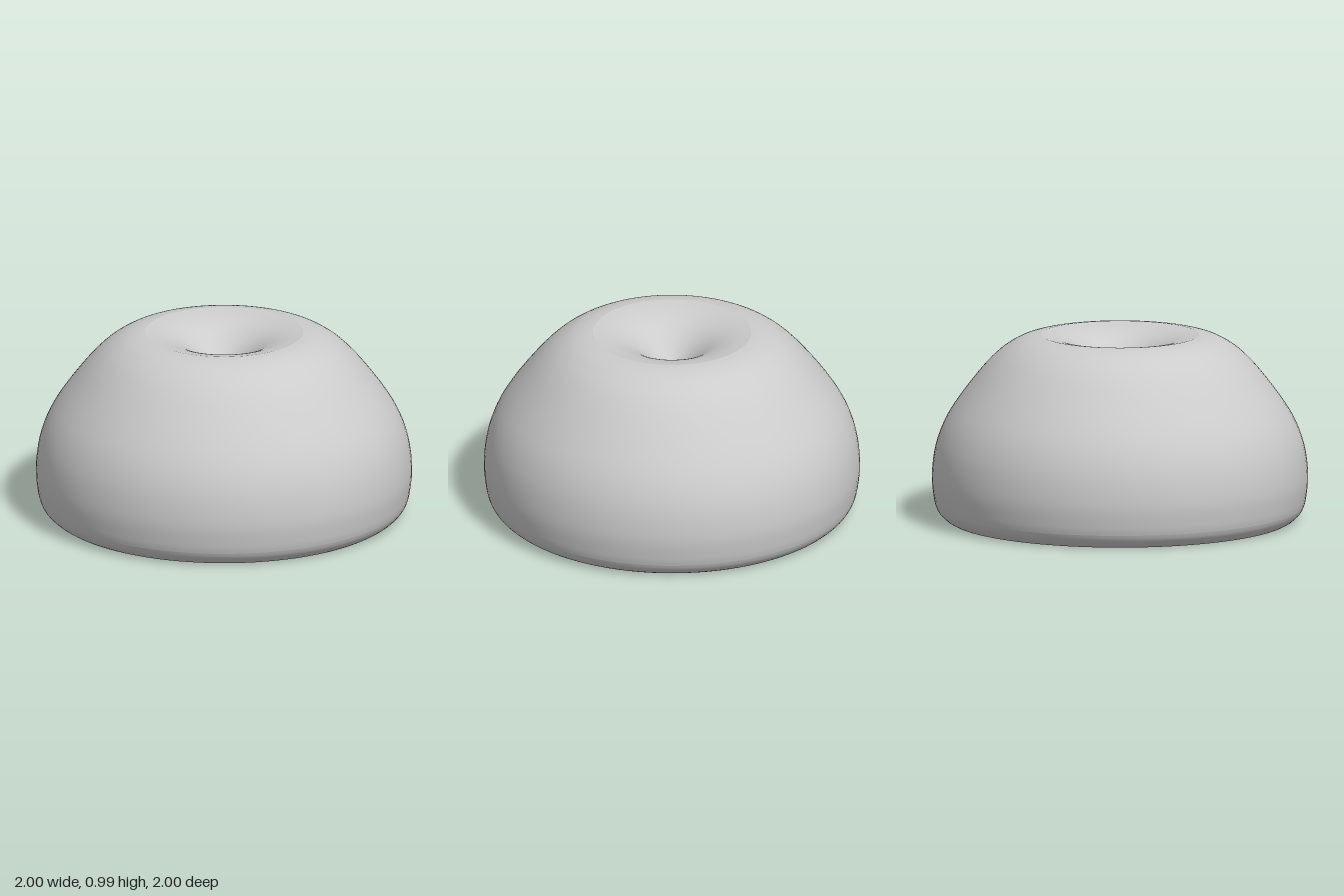
import * as THREE from 'three';

const SEGMENTS = 96;

// Revolve a profile of [radius, height] pairs, optionally smoothed by a spline
function revolve(name, profile, samples = 0) {
  let points = profile.map(([r, y]) => new THREE.Vector2(r, y));
  if (samples) {
    points = new THREE.SplineCurve(points).getPoints(samples);
    points.forEach((p) => { p.x = Math.max(p.x, 0); });
  }
  const material = new THREE.MeshStandardMaterial({ color: 0xcccccc, side: THREE.DoubleSide });
  const mesh = new THREE.Mesh(new THREE.LatheGeometry(points, SEGMENTS), material);
  mesh.name = name;
  return mesh;
}

export function createModel() {
  const model = new THREE.Group();
  model.name = 'dimpledDome';

  // Slightly raised centre disc of the underside
  model.add(revolve('bottomDisc', [[0, 0.01], [0.18, 0.018], [0.34, 0.03]]));

  // Ring groove around the disc
  model.add(revolve('bottomGroove', [
    [0.34, 0.03], [0.36, 0.07], [0.4, 0.105], [0.44, 0.09], [0.475, 0.04], [0.5, 0],
  ], 20));

  // Flat standing surface and its bevelled edge
  model.add(revolve('base', [[0.5, 0], [0.91, 0]]));
  model.add(revolve('bevel', [[0.91, 0], [0.935, 0.015], [0.965, 0.045], [0.98, 0.075]], 10));

  // Round side running over the shoulder
  model.add(revolve('body', [
    [0.98, 0.075], [0.99, 0.12], [1, 0.22], [0.992, 0.33], [0.97, 0.43], [0.93, 0.53],
    [0.87, 0.63], [0.785, 0.745], [0.705, 0.84], [0.63, 0.91], [0.55, 0.96],
    [0.48, 0.984], [0.42, 0.993],
  ], 64));

  // Hollow sinking from the rim to a point at the centre
  model.add(revolve('topDimple', [
    [0.42, 0.993], [0.33, 0.975], [0.24, 0.94], [0.16, 0.885], [0.08, 0.81], [0, 0.73],
  ], 32));

  return model;
}
